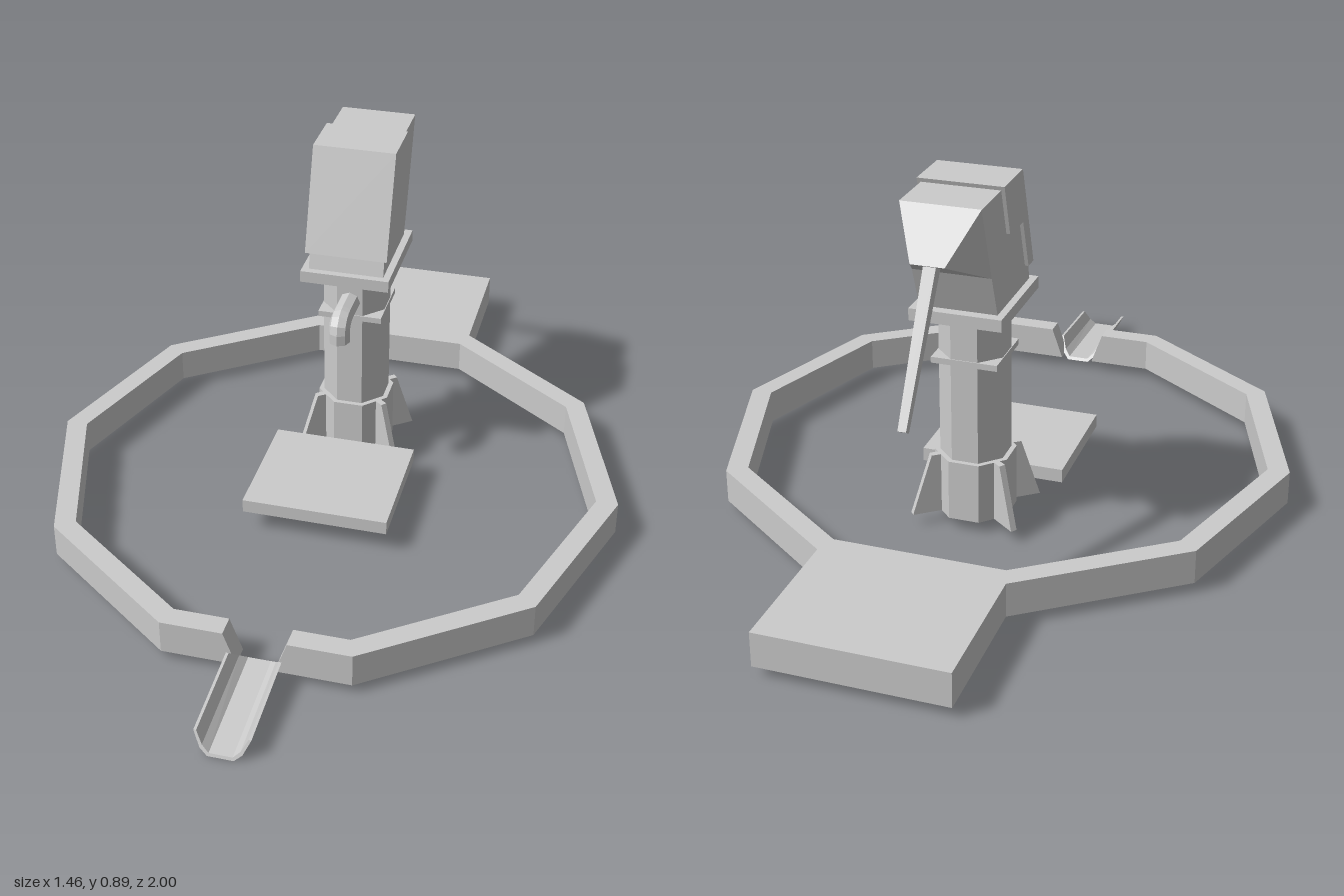
import * as THREE from 'three';
import { ConvexGeometry } from 'three/addons/geometries/ConvexGeometry.js';

const grey = new THREE.MeshStandardMaterial({ color: 0xcccccc, flatShading: true, side: THREE.DoubleSide });
const PUMP_Z = -0.21;

function add(parent, name, geometry, x = 0, y = 0, z = 0) {
  const mesh = new THREE.Mesh(geometry, grey);
  mesh.name = name;
  mesh.position.set(x, y, z);
  parent.add(mesh);
  return mesh;
}

// Extrudes a side profile of [z, y] points across x, centred on x = 0
function sideExtrude(points, width) {
  const shape = new THREE.Shape(points.map(([z, y]) => new THREE.Vector2(-z, y)));
  const g = new THREE.ExtrudeGeometry(shape, { depth: width, bevelEnabled: false });
  return g.translate(0, 0, -width / 2).rotateY(Math.PI / 2);
}

// Octagonal prism with a flat side to the front, sized by its half width
function octagon(halfWidth, y0, y1) {
  const r = halfWidth / Math.cos(Math.PI / 8);
  return new THREE.CylinderGeometry(r, r, y1 - y0, 8).rotateY(Math.PI / 8).translate(0, (y0 + y1) / 2, 0);
}

// Ten-sided kerb with a rear slab and a front drain gap; hollow, open below
function kerbGeometry() {
  const y0 = 0.025, y1 = 0.11, gapTop = 0.075, gapBottom = 0.045;
  const ring = [[0.225, 0.735], [0.59, 0.47], [0.73, 0.04], [0.59, -0.39], [0.225, -0.655]];
  const inner = ring.map(([x, z]) => [x * 0.925, 0.04 + (z - 0.04) * 0.925]);
  const mirror = (list) => list.map(([x, z]) => [-x, z]).reverse();
  const contour = (gap) => {
    const outerHalf = [[gap, 0.735], ...ring, [0.225, -1]];
    const innerHalf = [[gap, inner[0][1]], ...inner];
    return [...outerHalf, ...mirror(outerHalf), ...innerHalf.map(([x, z]) => [-x, z]), ...mirror(innerHalf).map(([x, z]) => [-x, z])
      .map(([x, z]) => [Math.abs(x), z])];
  };
  const top = contour(gapTop), bottom = contour(gapBottom);
  const pos = [];
  const put = ([x, z], y) => pos.push(x, y, z);
  const faces = THREE.ShapeUtils.triangulateShape(top.map(([x, z]) => new THREE.Vector2(x, -z)), []);
  for (const face of faces) face.forEach((i) => put(top[i], y1));
  top.forEach((p, i) => {
    const j = (i + 1) % top.length;
    put(bottom[i], y0); put(bottom[j], y0); put(top[j], y1);
    put(bottom[i], y0); put(top[j], y1); put(p, y1);
  });
  const g = new THREE.BufferGeometry();
  g.setAttribute('position', new THREE.Float32BufferAttribute(pos, 3));
  g.computeVertexNormals();
  return g;
}

// Thin trough sloping down to the front, its lip cut at a slant
function chuteGeometry() {
  const half = [[0.03, 0], [0.048, 0.015], [0.065, 0.05]];
  const outer = [...half.map(([x, y]) => [-x, y]).reverse(), ...half];
  const inner = outer.map(([x, y]) => [x * 0.9, y < 0.05 ? y + 0.007 : y]).reverse();
  const shape = new THREE.Shape([...outer, ...inner].map(([x, y]) => new THREE.Vector2(x, y)));
  const g = new THREE.ExtrudeGeometry(shape, { depth: 0.3, bevelEnabled: false });
  const p = g.attributes.position;
  for (let i = 0; i < p.count; i++) {
    const t = p.getZ(i) / 0.3, y = p.getY(i);
    p.setY(i, y + 0.015 * (1 - t));
    p.setZ(i, 0.695 + p.getZ(i) + y * (1 - t) - 0.4 * y * t);
  }
  g.computeVertexNormals();
  return g;
}

export function createModel() {
  const model = new THREE.Group();
  model.name = 'handPump';

  // Ground works
  add(model, 'kerb', kerbGeometry());
  add(model, 'drainChute', chuteGeometry());
  add(model, 'bucketSlab', new THREE.BoxGeometry(0.37, 0.035, 0.32), 0, 0.0725, 0.07);

  // Pump column with base collar, fins and flanges
  const pump = new THREE.Group();
  pump.name = 'pumpColumn';
  pump.position.z = PUMP_Z;
  model.add(pump);
  add(pump, 'pipe', octagon(0.08, 0.03, 0.57));
  add(pump, 'baseCollar', octagon(0.092, 0.03, 0.185));
  for (const sx of [-1, 1]) for (const sz of [-1, 1]) {
    const fin = add(pump, 'baseFin', sideExtrude([[0.07, 0.03], [0.165, 0.03], [0.115, 0.185], [0.07, 0.185]], 0.016));
    fin.rotation.y = Math.atan2(sx * 0.79, sz * 0.61);
  }
  add(pump, 'pipeFlange', new THREE.BoxGeometry(0.164, 0.015, 0.164), 0, 0.444, 0);
  add(pump, 'topPlate', new THREE.BoxGeometry(0.225, 0.03, 0.28), 0, 0.58, 0);

  // Spout
  const path = new THREE.CurvePath();
  const v = (y, z) => new THREE.Vector3(0, y, z);
  path.add(new THREE.LineCurve3(v(0.489, -0.14), v(0.489, -0.06)));
  path.add(new THREE.QuadraticBezierCurve3(v(0.489, -0.06), v(0.489, -0.024), v(0.46, -0.024)));
  path.add(new THREE.LineCurve3(v(0.46, -0.024), v(0.436, -0.024)));
  add(model, 'spout', new THREE.TubeGeometry(path, 12, 0.027, 8));

  // Pump head
  add(model, 'headBody', sideExtrude([[-0.088, 0.595], [-0.325, 0.595], [-0.365, 0.7], [-0.43, 0.885], [-0.18, 0.885], [-0.1, 0.64]], 0.19));
  add(model, 'headHood', sideExtrude([[-0.085, 0.64], [-0.123, 0.64], [-0.166, 0.765], [-0.262, 0.77], [-0.302, 0.895], [-0.17, 0.895]], 0.208));
  const nose = [];
  for (const s of [-1, 1]) {
    nose.push(new THREE.Vector3(s * 0.095, 0.885, -0.43), new THREE.Vector3(s * 0.095, 0.7, -0.365));
    nose.push(new THREE.Vector3(s * 0.04, 0.775, -0.515));
  }
  add(model, 'headRear', new ConvexGeometry(nose));

  // Handle, narrowing towards the grip
  const handle = new THREE.CylinderGeometry(0.022, 0.014, 0.4, 4).rotateY(Math.PI / 4);
  const lever = add(model, 'handle', handle, 0, 0.625, -0.57);
  lever.rotation.x = Math.atan2(0.2, 0.33);

  return model;
}
